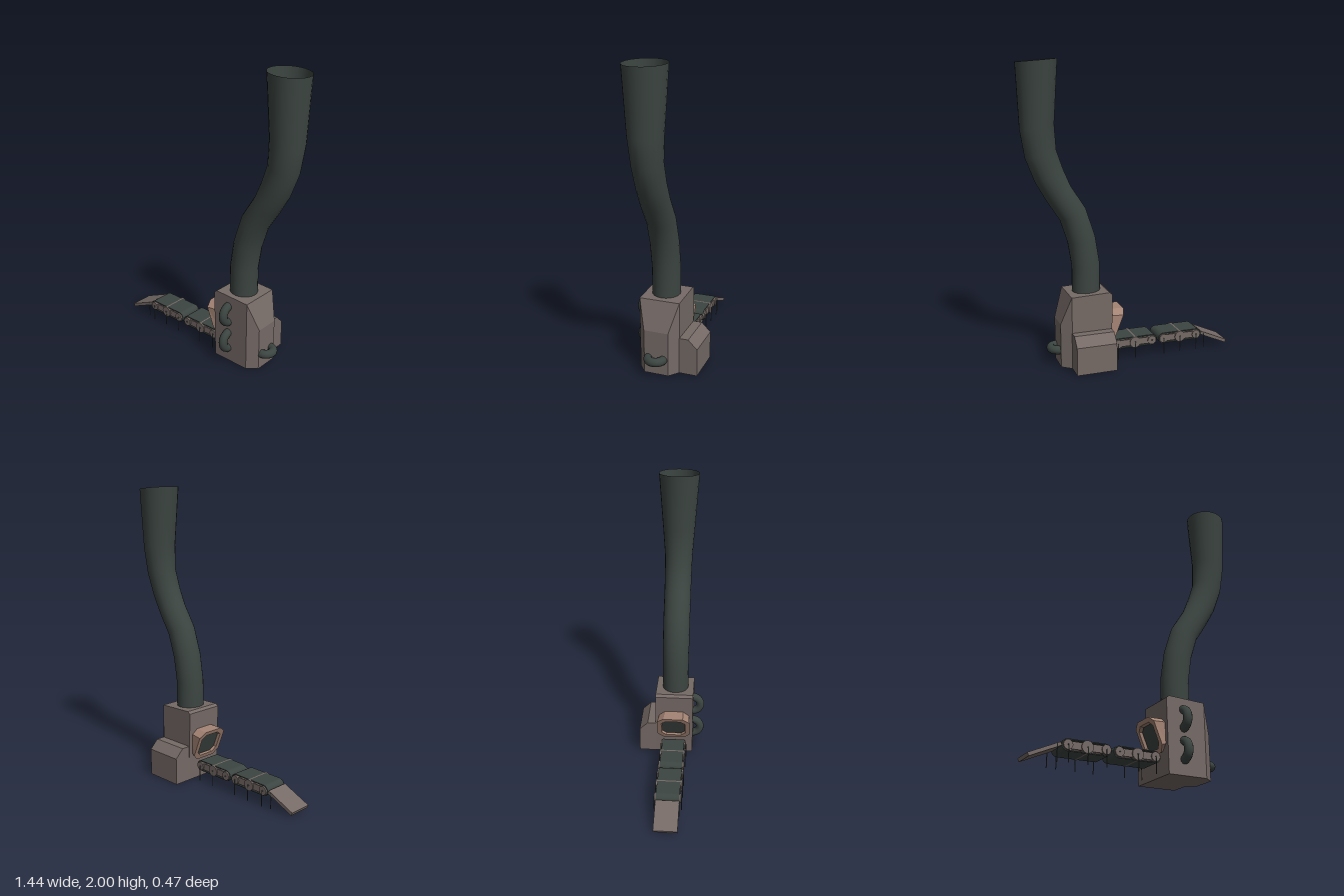
import * as THREE from 'three';
import { ConvexGeometry } from 'three/addons/geometries/ConvexGeometry.js';

const ZC = 0.02; // shared centre line of all parts in z
const mat = (color, flatShading = false) =>
  new THREE.MeshStandardMaterial({ color, flatShading, side: THREE.DoubleSide });

// Skin over a list of closed rings of Vector3, optionally capped at the last ring
function loft(rings, capEnd = false) {
  const n = rings[0].length, pos = [], idx = [];
  rings.forEach(r => r.forEach(p => pos.push(p.x, p.y, p.z)));
  for (let i = 0; i < rings.length - 1; i++) {
    for (let j = 0; j < n; j++) {
      const a = i * n + j, b = i * n + (j + 1) % n;
      idx.push(a, a + n, b, b, a + n, b + n);
    }
  }
  const last = (rings.length - 1) * n;
  if (capEnd) for (let j = 1; j < n - 1; j++) idx.push(last, last + j + 1, last + j);
  const g = new THREE.BufferGeometry();
  g.setAttribute('position', new THREE.Float32BufferAttribute(pos, 3));
  g.setIndex(idx);
  g.computeVertexNormals();
  return g;
}

export function createModel() {
  const model = new THREE.Group();
  const metal = mat(0x756a66, true), dark = mat(0x3c4541), copper = mat(0xa48474, true);
  const darkFlat = mat(0x3c4541, true);

  function add(name, geometry, material, x = 0, y = 0, z = 0, parent = model) {
    const m = new THREE.Mesh(geometry, material);
    m.name = name;
    m.position.set(x, y, z);
    parent.add(m);
    return m;
  }

  // Furnace housing with a tapered bay on its +x end
  const hull = [];
  for (const s of [-1, 1]) {
    const z = ZC + s * 0.135;
    hull.push([0.155, 0, z], [0.145, 0.48, z], [0.165, 0.495, z], [0.422, 0.485, z], [0.422, 0, z]);
    hull.push([0.487, 0, ZC + s * 0.082], [0.487, 0.295, ZC + s * 0.082]);
  }
  add('housing', new ConvexGeometry(hull.map(p => new THREE.Vector3(...p))), metal);

  // Lower rear box with a bevelled top edge
  const rear = [];
  for (const x of [0.155, 0.424]) {
    for (const [z, y] of [[-0.1, 0], [-0.1, 0.245], [-0.175, 0.245], [-0.235, 0.185], [-0.235, 0]])
      rear.push(new THREE.Vector3(x, y, z));
  }
  add('rearBox', new ConvexGeometry(rear), metal);

  // Curved chimney: left and right edge point of every ring, and its half depth
  const edges = [
    [0.195, 0.46, 0.382, 0.46, 0.093], [0.195, 0.67, 0.382, 0.66, 0.093],
    [0.225, 0.86, 0.407, 0.82, 0.094], [0.288, 1.05, 0.458, 0.975, 0.094],
    [0.385, 1.20, 0.54, 1.10, 0.094], [0.432, 1.31, 0.615, 1.23, 0.094],
    [0.475, 1.435, 0.675, 1.385, 0.097], [0.485, 1.605, 0.704, 1.565, 0.11],
    [0.459, 2.0, 0.721, 1.977, 0.137],
  ];
  const rings = edges.map(([lx, ly, rx, ry, d]) => Array.from({ length: 20 }, (_, j) => {
    const a = j / 20 * Math.PI * 2, t = (1 + Math.cos(a)) / 2;
    return new THREE.Vector3(lx + (rx - lx) * t, ly + (ry - ly) * t, ZC + 0.002 + Math.sin(a) * d);
  }));
  // rings run clockwise seen from above, so reverse them to face outward
  add('chimney', loft(rings.map(r => r.reverse()).reverse()), dark);

  // Bent pipes on the front and on the +x end
  const bend = (R) => new THREE.TorusGeometry(R, 0.029, 12, 28);
  for (const y of [0.357, 0.157])
    add('frontPipe', bend(0.059), dark, 0.266, y, 0.147).rotation.y = Math.PI / 2;
  add('sidePipe', bend(0.051), dark, 0.483, 0.107, 0.024).rotation.x = Math.PI / 2;

  // Eight-sided hatch frame leaning out over the conveyor
  const half = [[0.07, 0], [0.117, 0.16], [0.117, 0.82], [0.075, 1]];
  const oct = [...half, ...half.map(([w, v]) => [-w, v]).reverse()];
  const face = (scale, push) => oct.map(([w, v]) => {
    const u = 0.5 + (v - 0.5) * scale;
    return new THREE.Vector3(0.05 + 0.087 * u + push, 0.357 - 0.217 * u, ZC - 0.002 + w * scale);
  });
  const wall = oct.map(([w, v]) => new THREE.Vector3(0.165, 0.36 - 0.2 * v, ZC + w * 0.9));
  add('hatchFrame', loft([wall, face(1, 0), face(0.74, 0), face(0.7, 0.02)]).toNonIndexed(), copper);
  add('hatchPane', loft([face(0.74, 0.012), face(0.7, 0.021)], true).toNonIndexed(), darkFlat);

  // Two conveyor sections: belt loop, side plates, rollers
  function conveyor(cx) {
    const g = new THREE.Group();
    g.name = 'conveyor';
    g.position.set(cx, 0.107, ZC);
    model.add(g);
    const L = 0.122, r = 0.037;
    const s = new THREE.Shape();
    s.absarc(L, 0, r, -Math.PI / 2, Math.PI / 2);
    s.absarc(-L, 0, r, Math.PI / 2, Math.PI * 1.5);
    s.closePath();
    const hole = new THREE.Path();
    hole.absarc(L, 0, r - 0.006, -Math.PI / 2, Math.PI / 2);
    hole.absarc(-L, 0, r - 0.006, Math.PI / 2, Math.PI * 1.5);
    hole.closePath();
    s.holes.push(hole);
    const belt = new THREE.ExtrudeGeometry(s, { depth: 0.16, bevelEnabled: false, curveSegments: 8 });
    add('belt', belt, darkFlat, 0, 0, -0.08, g);
    for (const z of [-0.078, 0.078])
      add('sidePlate', new THREE.BoxGeometry(0.25, 0.045, 0.008), metal, 0, 0, z, g);
    for (const x of [-L, 0, L]) {
      const rad = x ? 0.03 : 0.038;
      add('roller', new THREE.CylinderGeometry(rad, rad, 0.18, 16), metal, x, 0, 0, g).rotation.x = Math.PI / 2;
      add('axle', new THREE.CylinderGeometry(0.005, 0.005, 0.192, 6), darkFlat, x, 0, 0, g).rotation.x = Math.PI / 2;
    }
  }
  conveyor(-0.362);
  conveyor(-0.031);

  // Thin support legs in pairs
  for (const x of [-0.547, -0.482, -0.36, -0.24, -0.03, 0.092]) {
    for (const s of [-1, 1]) {
      add('leg', new THREE.CylinderGeometry(0.003, 0.003, 0.108, 6), darkFlat, x, 0.054, ZC + s * (x < -0.5 ? 0.079 : 0.093));
    }
  }

  // Sloping ramp at the far end
  const ramp = add('ramp', new THREE.BoxGeometry(0.213, 0.022, 0.16), metal, -0.622, 0.066, ZC);
  ramp.rotation.z = 0.415;

  return model;
}
